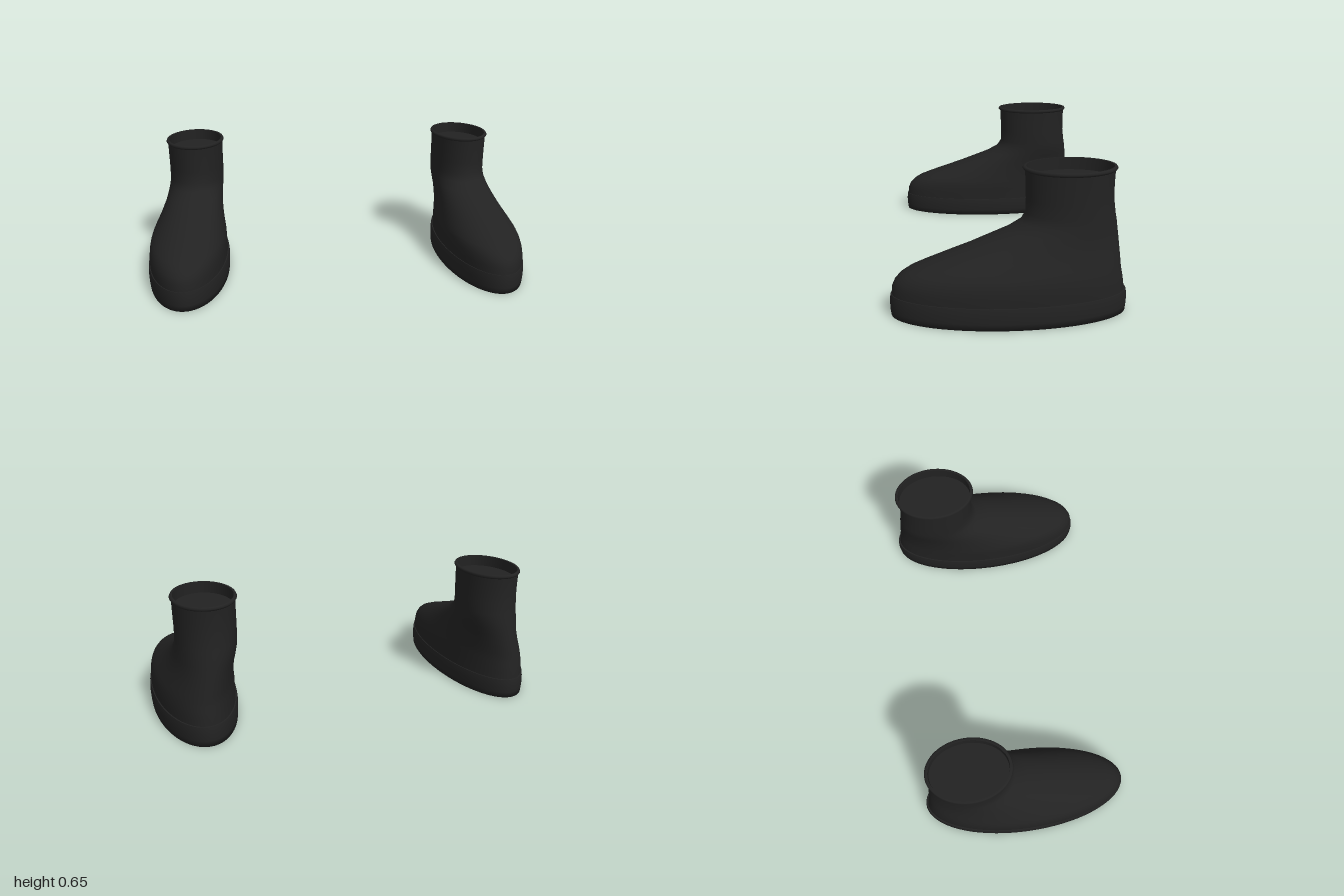
import * as THREE from 'three';

const SEGMENTS = 72;

// Elliptical cross-sections: [y, inner x, outer x, heel z, toe z]
const SOLE = [
  [0.0, 0.58, 0.996, -0.524, 0.525],
  [0.03, 0.577, 0.999, -0.527, 0.529],
  [0.06, 0.576, 1.0, -0.528, 0.53],
  [0.085, 0.578, 0.998, -0.526, 0.528],
  [0.1, 0.581, 0.995, -0.523, 0.525],
];
const SOLE_TOP = [
  [0.1, 0.581, 0.995, -0.523, 0.525],
  [0.1, 0.62, 0.96, -0.48, 0.48],
];
const UPPER = [
  [0.098, 0.586, 0.99, -0.515, 0.521],
  [0.135, 0.587, 0.99, -0.511, 0.518],
  [0.165, 0.588, 0.987, -0.506, 0.505],
  [0.19, 0.589, 0.982, -0.501, 0.48],
  [0.21, 0.592, 0.975, -0.498, 0.448],
  [0.235, 0.597, 0.962, -0.496, 0.385],
  [0.27, 0.602, 0.942, -0.493, 0.287],
  [0.3, 0.605, 0.927, -0.49, 0.2],
  [0.335, 0.606, 0.911, -0.487, 0.11],
  [0.37, 0.604, 0.9, -0.483, 0.018],
  [0.408, 0.601, 0.891, -0.479, -0.05],
  [0.447, 0.598, 0.887, -0.472, -0.075],
  [0.51, 0.597, 0.886, -0.464, -0.075],
  [0.58, 0.597, 0.887, -0.463, -0.073],
  [0.64, 0.596, 0.888, -0.466, -0.07],
];
const RIM = [
  [0.636, 0.597, 0.887, -0.465, -0.071],
  [0.64, 0.592, 0.892, -0.471, -0.064],
  [0.647, 0.588, 0.896, -0.476, -0.059],
  [0.655, 0.592, 0.892, -0.471, -0.064],
  [0.655, 0.603, 0.881, -0.46, -0.075],
];
const LINING = [
  [0.655, 0.603, 0.881, -0.46, -0.075],
  [0.6, 0.604, 0.88, -0.459, -0.076],
];
const FLOOR = [[0.6, 0.604, 0.88, -0.459, -0.076]];

// Joins elliptical rings into a surface; side = 1 for left, -1 for right
function loft(rings, side, { capStart = false, capEnd = false } = {}) {
  const pos = [];
  const index = [];
  rings.forEach(([y, x0, x1, z0, z1]) => {
    for (let i = 0; i < SEGMENTS; i++) {
      const a = (i / SEGMENTS) * Math.PI * 2;
      pos.push(
        (side * (x0 + x1)) / 2 + Math.sin(a) * (x1 - x0) / 2,
        y,
        (z0 + z1) / 2 + Math.cos(a) * (z1 - z0) / 2,
      );
    }
  });
  for (let r = 0; r < rings.length - 1; r++) {
    for (let i = 0; i < SEGMENTS; i++) {
      const j = (i + 1) % SEGMENTS;
      const a = r * SEGMENTS + i, b = r * SEGMENTS + j;
      index.push(a, b, b + SEGMENTS, a, b + SEGMENTS, a + SEGMENTS);
    }
  }
  const cap = (r, up) => {
    const [y, x0, x1, z0, z1] = rings[r];
    const c = pos.length / 3;
    pos.push((side * (x0 + x1)) / 2, y, (z0 + z1) / 2);
    for (let i = 0; i < SEGMENTS; i++) {
      const a = r * SEGMENTS + i, b = r * SEGMENTS + ((i + 1) % SEGMENTS);
      if (up) index.push(c, a, b);
      else index.push(c, b, a);
    }
  };
  if (capStart) cap(0, false);
  if (capEnd) cap(rings.length - 1, true);
  const geo = new THREE.BufferGeometry();
  geo.setAttribute('position', new THREE.Float32BufferAttribute(pos, 3));
  geo.setIndex(index);
  geo.computeVertexNormals();
  return geo;
}

export function createModel() {
  const black = new THREE.MeshStandardMaterial({ color: 0x222222 });
  black.name = 'black rubber';

  const model = new THREE.Group();
  model.name = 'boots';

  for (const side of [1, -1]) {
    const boot = new THREE.Group();
    boot.name = side > 0 ? 'leftBoot' : 'rightBoot';
    const add = (name, rings, caps) => {
      const mesh = new THREE.Mesh(loft(rings, side, caps), black);
      mesh.name = name;
      boot.add(mesh);
    };
    add('sole', SOLE, { capStart: true });
    add('soleLedge', SOLE_TOP);
    add('upper', UPPER);
    add('rim', RIM);
    // Shallow recess inside the opening
    add('lining', LINING);
    add('openingFloor', FLOOR, { capEnd: true });
    model.add(boot);
  }
  return model;
}
